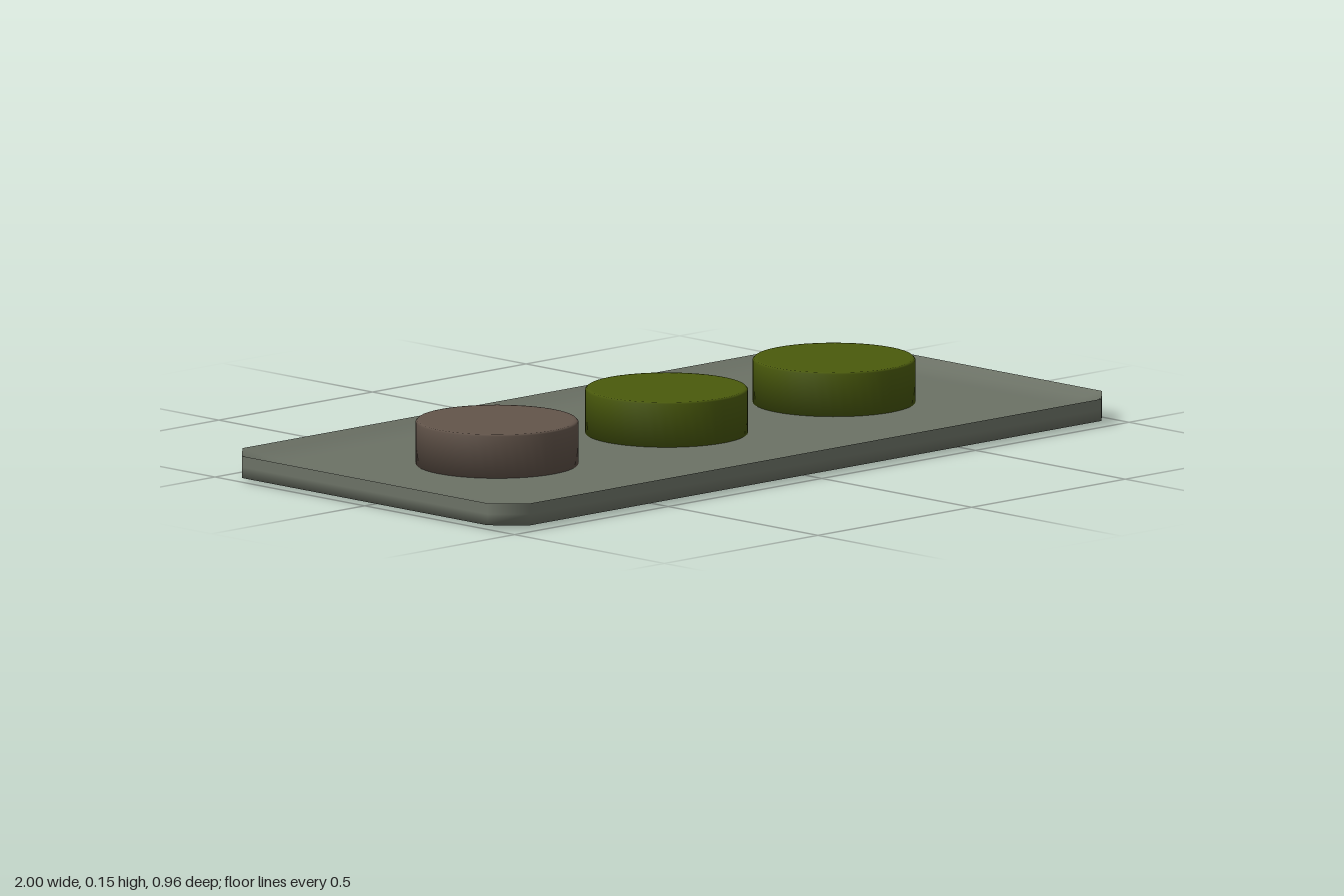
import * as THREE from 'three';

const trayMat = new THREE.MeshStandardMaterial({ color: 0x6b7165 });
trayMat.name = 'grey green';
const greenMat = new THREE.MeshStandardMaterial({ color: 0x4a5a0c });
greenMat.name = 'olive green';
const brownMat = new THREE.MeshStandardMaterial({ color: 0x62544a });
brownMat.name = 'brown';

// Rectangle with cut corners, shrunk by inset, anticlockwise seen from above
function octagon(inset, y) {
  const x = 1 - inset, z = 0.48 - inset, c = 0.07 - inset * 0.3;
  return [
    [x, z - c], [x, c - z], [x - c, -z], [c - x, -z],
    [-x, c - z], [-x, z - c], [c - x, z], [x - c, z],
  ].map(([px, pz]) => [px, y, pz]);
}

// Closed smooth shell of octagon rings, from the underside round to the floor;
// a ring given twice makes a sharp edge
function shellGeometry(rings) {
  const n = 8, pos = [], index = [];
  rings.forEach(([inset, y]) => octagon(inset, y).forEach((p) => pos.push(...p)));
  for (let r = 0; r < rings.length - 1; r++) {
    for (let i = 0; i < n; i++) {
      const a = r * n + i, b = r * n + (i + 1) % n;
      index.push(a, b, b + n, a, b + n, a + n);
    }
  }
  const top = (rings.length - 1) * n;
  for (let i = 1; i < n - 1; i++) {
    index.push(0, i + 1, i);
    index.push(top, top + i, top + i + 1);
  }
  const g = new THREE.BufferGeometry();
  g.setAttribute('position', new THREE.Float32BufferAttribute(pos, 3));
  g.setIndex(index);
  g.computeVertexNormals();
  return g;
}

// Round disc with a tiny bevel around its top edge
function discGeometry(radius, bottom, top) {
  const profile = [
    [0, bottom], [radius, bottom], [radius, top - 0.004],
    [radius - 0.004, top], [radius - 0.012, top], [0, top],
  ];
  return new THREE.LatheGeometry(profile.map(([x, y]) => new THREE.Vector2(x, y)), 48);
}

export function createModel() {
  const model = new THREE.Group();
  model.name = 'trayWithDiscs';

  // Tray: chamfered underside, upright wall, sharp rim, sloped sides to a sunken floor
  const tray = new THREE.Mesh(
    shellGeometry([
      [0.12, 0], [0.06, 0.002], [0, 0.01], [0, 0.036], [0, 0.062],
      [0, 0.062], [0.03, 0.05], [0.06, 0.041], [0.1, 0.04],
    ]),
    trayMat
  );
  tray.name = 'tray';
  model.add(tray);

  // Three discs in a row, standing on the floor of the tray
  const discs = [
    ['rightDisc', -0.555, 0.143, brownMat],
    ['middleDisc', -0.003, 0.146, greenMat],
    ['leftDisc', 0.542, 0.144, greenMat],
  ];
  for (const [name, x, top, material] of discs) {
    const disc = new THREE.Mesh(discGeometry(0.19, 0.038, top), material);
    disc.name = name;
    disc.position.set(x, 0, -0.015);
    model.add(disc);
  }
  return model;
}
